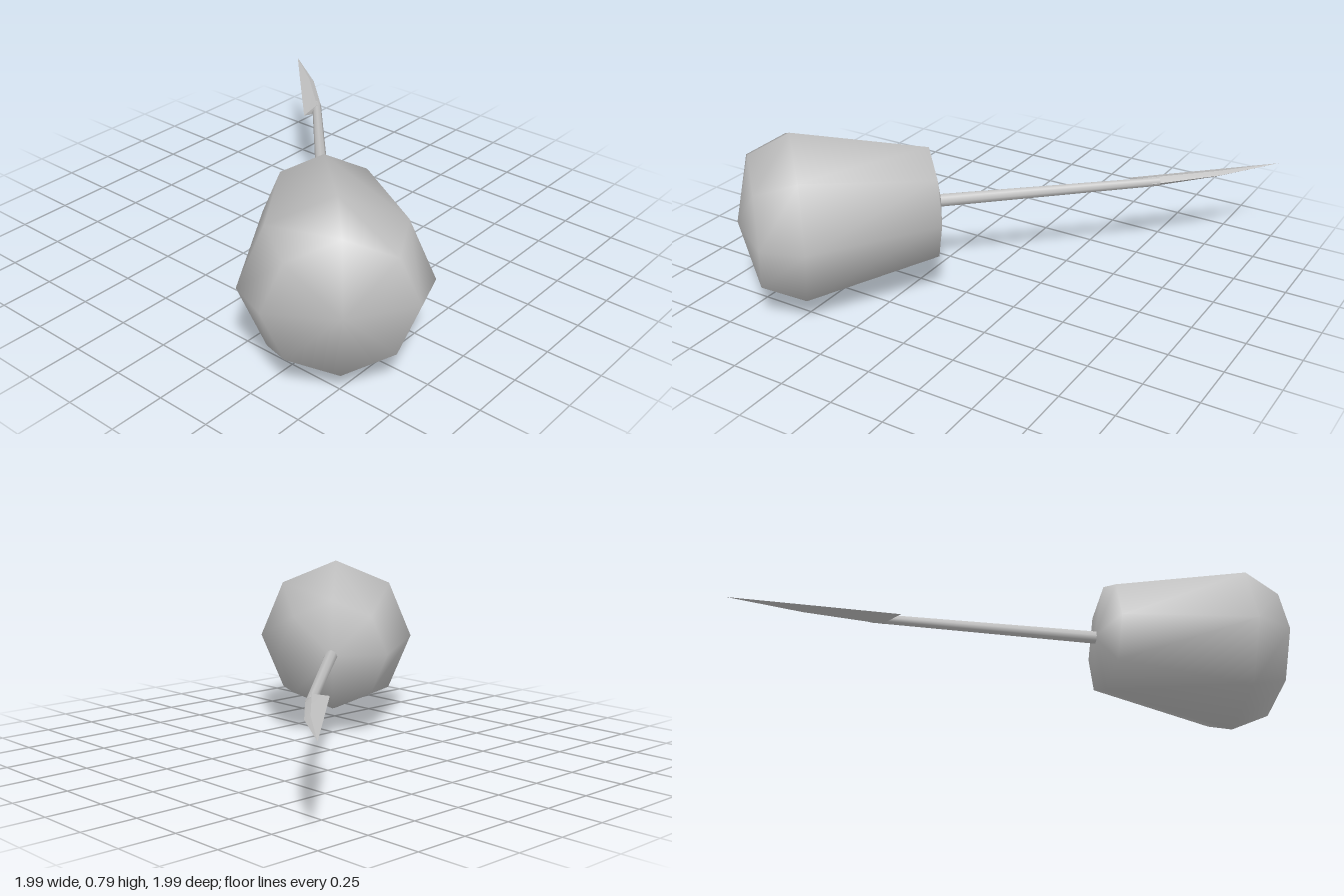
import * as THREE from 'three';
import { mergeVertices, toCreasedNormals } from 'three/addons/utils/BufferGeometryUtils.js';

export function createModel() {
  const grey = new THREE.MeshStandardMaterial({ color: 0xc0c0c0 });
  grey.name = 'plain grey';

  // The whole model lies along the local z axis, turned 45 degrees
  const model = new THREE.Group();
  model.name = 'stingerModel';
  const axis = new THREE.Group();
  axis.name = 'turnedAxis';
  axis.rotation.y = Math.PI / 4;
  axis.position.y = 0.4;
  model.add(axis);

  const add = (name, geometry) => {
    const mesh = new THREE.Mesh(geometry, grey);
    mesh.name = name;
    axis.add(mesh);
  };

  // Eight-sided bulb with smooth normals
  const profile = [[0, 0.25], [0.265, 0.3], [0.396, 0.905], [0.311, 1.09], [0, 1.16]]
    .map(([r, s]) => new THREE.Vector2(r, s));
  let bulb = new THREE.LatheGeometry(profile, 8);
  bulb.deleteAttribute('uv');
  bulb.deleteAttribute('normal');
  bulb = mergeVertices(bulb, 1e-4);
  bulb.computeVertexNormals();
  bulb.rotateX(Math.PI / 2);
  add('bulb', bulb);

  // Thin shaft, drifting slightly to the side
  const start = new THREE.Vector3(0.005, 0, 0.28);
  const end = new THREE.Vector3(0.055, 0, -0.78);
  const dir = start.clone().sub(end);
  const shaft = new THREE.CylinderGeometry(0.031, 0.022, dir.length(), 8);
  shaft.applyQuaternion(new THREE.Quaternion().setFromUnitVectors(
    new THREE.Vector3(0, 1, 0), dir.clone().normalize()));
  const mid = start.clone().add(end).multiplyScalar(0.5);
  shaft.translate(mid.x, mid.y, mid.z);
  add('shaft', shaft);

  // Barbed tip: sections of outer edge, upper ridge, barb edge, lower ridge
  const sections = [
    { outer: [0.078, -0.742], ridge: [0.052, -0.725], barb: [-0.018, -0.654], h: 0.024 },
    { outer: [0.064, -1.082], ridge: [0.04, -1.08], barb: [-0.009, -1.06], h: 0.014 },
    { outer: [0, -1.414], ridge: [0, -1.414], barb: [0, -1.414], h: 0 },
  ];
  const pos = [];
  for (const { outer, ridge, barb, h } of sections) {
    pos.push(outer[0], 0, outer[1], ridge[0], h, ridge[1],
      barb[0], 0, barb[1], ridge[0], -h, ridge[1]);
  }
  const index = [0, 1, 2, 0, 2, 3];
  for (let i = 0; i < sections.length - 1; i++) {
    for (let j = 0; j < 4; j++) {
      const a = i * 4 + j, b = i * 4 + (j + 1) % 4;
      index.push(a, a + 4, b);
      if (i < sections.length - 2) index.push(b, a + 4, b + 4);
    }
  }
  const tip = new THREE.BufferGeometry();
  tip.setAttribute('position', new THREE.Float32BufferAttribute(pos, 3));
  tip.setIndex(index);
  add('barbedTip', toCreasedNormals(tip, 0.7));

  return model;
}
